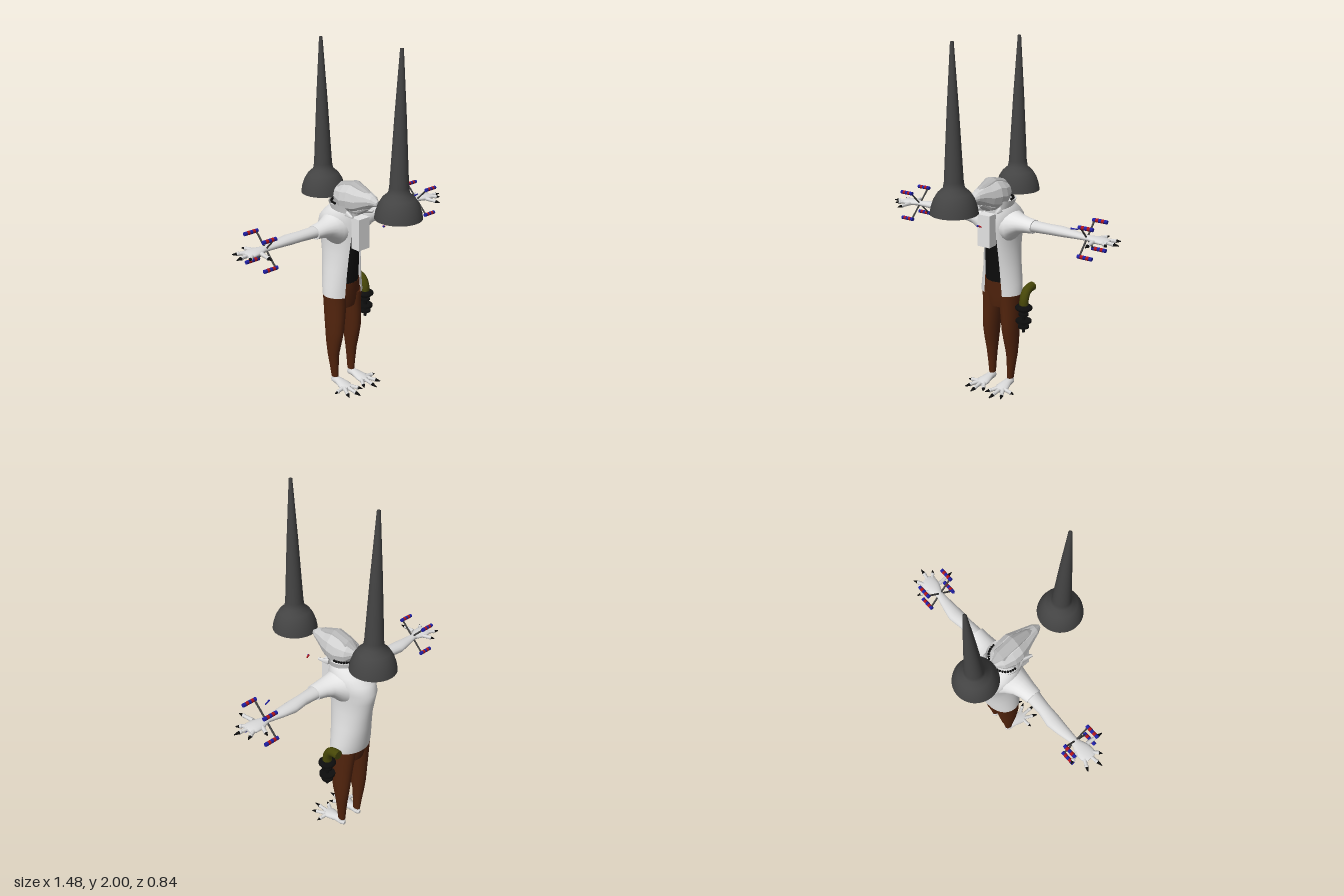
import * as THREE from 'three';

const mat = (name, color, side = THREE.FrontSide, flatShading = false) => {
  const m = new THREE.MeshStandardMaterial({ color, side, flatShading });
  m.name = name;
  return m;
};

// Loft of ellipses along an axis. Rows: [t, c1, c2, r1, r2, halfOpening?]
// axis x: (y,z)   axis y: (z,x)   axis z: (x,y). With an opening the loft is an open wrap.
function loft(axis, rows, seg = 20, open = false) {
  const pos = [], idx = [];
  const put = (t, u, v) => pos.push(...(axis === 'x' ? [t, u, v] : axis === 'y' ? [v, t, u] : [u, v, t]));
  const n = open ? seg + 1 : seg;
  const ring = ([t, c1, c2, r1, r2, h = 0]) => {
    const a = open ? Math.asin(Math.min(1, h / r2)) : 0;
    for (let j = 0; j < n; j++) {
      const k = a + (j / seg) * (2 * Math.PI - 2 * a);
      put(t, c1 + r1 * Math.cos(k), c2 + r2 * Math.sin(k));
    }
  };
  rows.forEach(ring);
  for (let i = 0; i < rows.length - 1; i++) for (let j = 0; j < seg; j++) {
    const k = (j + 1) % n, a = i * n + j, b = i * n + k;
    idx.push(a, b, b + n, a, b + n, a + n);
  }
  if (!open) [rows[0], rows[rows.length - 1]].forEach((r, end) => {
    const s = pos.length / 3;
    ring(r);
    put(r[0], r[1], r[2]);
    for (let j = 0; j < seg; j++) {
      const k = (j + 1) % n;
      end ? idx.push(s + j, s + k, s + n) : idx.push(s + k, s + j, s + n);
    }
  });
  const g = new THREE.BufferGeometry();
  g.setAttribute('position', new THREE.Float32BufferAttribute(pos, 3));
  g.setIndex(idx);
  g.computeVertexNormals();
  return g;
}

// Tapered rod between two points
function rod(p, q, r1, r2, seg = 8) {
  const a = new THREE.Vector3(...p), b = new THREE.Vector3(...q), d = b.clone().sub(a);
  const g = new THREE.CylinderGeometry(r2, r1, d.length(), seg);
  g.applyQuaternion(new THREE.Quaternion().setFromUnitVectors(new THREE.Vector3(0, 1, 0), d.normalize()));
  const m = a.add(b).multiplyScalar(0.5);
  return g.translate(m.x, m.y, m.z);
}

export function createModel() {
  const model = new THREE.Group();
  const cloth = mat('white cloth', 0xe4e4e4, THREE.DoubleSide);
  const skin = mat('pale skin', 0xdadada);
  const headSkin = mat('head skin', 0xd0d0d0, THREE.FrontSide, true);
  const crestGrey = mat('crest grey', 0xb4b4b4, THREE.FrontSide, true);
  const iron = mat('dark iron', 0x444444, THREE.DoubleSide);
  const black = mat('black', 0x0d0d0d);
  const brown = mat('brown trousers', 0x52240d);
  const olive = mat('olive', 0x474708);
  const red = mat('red', 0xb0141c);
  const blue = mat('blue', 0x2020a8);
  const add = (parent, name, geo, m) => {
    const mesh = new THREE.Mesh(geo, m);
    mesh.name = name;
    parent.add(mesh);
    return mesh;
  };

  // Two tall spires with flared, hollow bells
  const spire = [[0.125, 1.155], [0.119, 1.19], [0.105, 1.23], [0.085, 1.262], [0.056, 1.288],
    [0.05, 1.32], [0.03, 1.68], [0.009, 2], [0, 2]].map(p => new THREE.Vector2(...p));
  for (const z of [0.293, -0.293]) {
    add(model, z > 0 ? 'frontSpire' : 'backSpire', new THREE.LatheGeometry(spire, 32), iron).position.z = z;
  }

  // Open jacket, shirt and bib
  add(model, 'jacket', loft('y', [
    [0.59, -0.14, 0, 0.1, 0.125, 0.06], [0.65, -0.145, 0, 0.106, 0.12, 0.055],
    [0.75, -0.147, 0, 0.118, 0.104, 0.05], [0.85, -0.148, 0, 0.13, 0.093, 0.045],
    [0.93, -0.152, 0, 0.142, 0.092, 0.04], [0.99, -0.155, 0, 0.15, 0.1, 0.04],
    [1.04, -0.145, 0, 0.138, 0.11, 0.04], [1.08, -0.13, 0, 0.115, 0.105, 0.04],
    [1.11, -0.115, 0, 0.095, 0.09, 0.04], [1.135, -0.105, 0, 0.078, 0.075, 0.04]], 36, true), cloth);
  add(model, 'collar', loft('y', [
    [1.085, -0.1, 0, 0.085, 0.078, 0.035], [1.12, -0.1, 0, 0.088, 0.09, 0.045],
    [1.15, -0.1, 0, 0.095, 0.102, 0.06]], 28, true), cloth);
  add(model, 'shirt', loft('y', [
    [0.66, -0.14, 0, 0.09, 0.09], [0.8, -0.14, 0, 0.105, 0.085],
    [0.92, -0.14, 0, 0.12, 0.08]], 24), black);
  add(model, 'bib', new THREE.BoxGeometry(0.08, 0.18, 0.06).translate(0, 0.99, 0.01), cloth);
  add(model, 'neck', loft('y', [
    [1.0, -0.1, 0, 0.08, 0.07], [1.1, -0.08, 0, 0.065, 0.06], [1.18, -0.06, 0, 0.065, 0.06]]), skin);
  add(model, 'hips', loft('y', [
    [0.51, -0.143, 0, 0.072, 0.085], [0.55, -0.143, 0, 0.08, 0.109],
    [0.6, -0.142, 0, 0.085, 0.113], [0.67, -0.14, 0, 0.092, 0.1]], 24), brown);

  // Long tapering head with a ridge on top
  add(model, 'head', loft('z', [
    [-0.175, 0, 1.19, 0.025, 0.02], [-0.14, 0, 1.18, 0.062, 0.058], [-0.08, 0, 1.172, 0.08, 0.088],
    [-0.03, 0, 1.18, 0.08, 0.09], [0.02, 0, 1.18, 0.064, 0.073], [0.07, 0, 1.19, 0.045, 0.05],
    [0.11, 0, 1.195, 0.031, 0.03], [0.142, 0, 1.187, 0.01, 0.014]], 12), headSkin);
  add(model, 'crest', loft('z', [
    [-0.175, 0, 1.2, 0.015, 0.015], [-0.13, 0, 1.225, 0.04, 0.028], [-0.03, 0, 1.25, 0.042, 0.027],
    [0.06, 0, 1.222, 0.026, 0.026], [0.135, 0, 1.195, 0.008, 0.011]], 10), crestGrey);
  add(model, 'jaw', loft('z', [
    [-0.05, 0, 1.12, 0.06, 0.03], [0.02, 0, 1.125, 0.045, 0.025],
    [0.075, 0, 1.15, 0.02, 0.012]], 10), headSkin);

  // Bead string behind the neck
  const beads = new THREE.Group();
  beads.name = 'beadString';
  model.add(beads);
  for (let i = 0; i < 19; i++) {
    const a = Math.PI * (i / 18);
    add(beads, 'bead', new THREE.SphereGeometry(0.007, 8, 6), black)
      .position.set(0.086 * Math.cos(a), 1.152, -0.1 - 0.078 * Math.sin(a));
  }

  // Fingers or toes ending in claws: each bends at a knuckle halfway
  const digit = (g, name, from, to, r) => {
    const at = t => from.map((v, i) => v + (to[i] - v) * t);
    add(g, name, rod(from, at(0.72), r, r * 0.7), skin);
    add(g, name + 'Knuckle', new THREE.SphereGeometry(r * 0.95, 8, 6).translate(...at(0.65)), skin);
    add(g, name + 'Claw', rod(at(0.7), to, r * 0.8, r * 0.2), black);
  };

  for (const s of [1, -1]) {
    const side = new THREE.Group();
    side.name = s > 0 ? 'leftSide' : 'rightSide';
    side.scale.x = s;
    model.add(side);

    // Sleeve, arm and hand
    add(side, 'sleeve', loft('x', [
      [0.03, 1.0, -0.145, 0.11, 0.12], [0.08, 1.0, -0.13, 0.095, 0.1], [0.11, 1.01, -0.118, 0.07, 0.082],
      [0.15, 1.02, -0.108, 0.05, 0.064], [0.19, 1.022, -0.103, 0.042, 0.054],
      [0.235, 1.022, -0.1, 0.037, 0.048]]), cloth);
    add(side, 'arm', loft('x', [
      [0.2, 1.024, -0.1, 0.032, 0.044], [0.32, 1.024, -0.105, 0.028, 0.036], [0.4, 1.024, -0.112, 0.027, 0.042],
      [0.47, 1.023, -0.108, 0.021, 0.033], [0.55, 1.022, -0.1, 0.015, 0.021], [0.57, 1.022, -0.1, 0.015, 0.027],
      [0.61, 1.022, -0.1, 0.017, 0.044], [0.65, 1.022, -0.098, 0.015, 0.045],
      [0.675, 1.022, -0.097, 0.008, 0.03]], 16), skin);
    for (const [x, z] of [[0.63, -0.195], [0.715, -0.155], [0.74, -0.08], [0.695, -0.035], [0.615, 0.037]]) {
      const c = x < 0.64 ? 0.605 : 0.64;
      digit(side, 'finger', [c, 1.022, -0.1 + (z + 0.1) * 0.3], [x, 1.02, z], 0.012);
    }

    // Crossed wrist frame carrying four banded tubes
    for (const y of [1.1, 0.945]) for (const z of [-0.17, -0.015]) {
      add(side, 'wristStrut', rod([0.555, 1.022, -0.093], [0.555, y, z], 0.005, 0.005, 6), iron);
      for (let i = 0; i < 5; i++) {
        const x = 0.545 + i * 0.0165;
        add(side, 'wristTube', rod([x, y, z], [x + 0.0165, y, z], 0.0105, 0.0105, 10), i % 2 ? red : blue);
      }
    }

    // Trouser leg
    add(side, 'leg', loft('y', [
      [0.045, -0.143, 0.064, 0.024, 0.018], [0.12, -0.145, 0.067, 0.03, 0.024],
      [0.2, -0.147, 0.07, 0.038, 0.032], [0.28, -0.143, 0.069, 0.054, 0.039],
      [0.36, -0.138, 0.066, 0.067, 0.044], [0.45, -0.14, 0.062, 0.073, 0.05],
      [0.53, -0.143, 0.057, 0.078, 0.055], [0.59, -0.143, 0.057, 0.082, 0.057]]), brown);

    // Foot with splayed toes
    add(side, 'ankle', rod([0.064, 0.015, -0.14], [0.064, 0.06, -0.143], 0.022, 0.016, 14), skin);
    add(side, 'foot', loft('z', [
      [-0.168, 0.064, 0.018, 0.01, 0.01], [-0.15, 0.064, 0.023, 0.022, 0.02], [-0.11, 0.065, 0.025, 0.025, 0.022],
      [-0.05, 0.068, 0.021, 0.04, 0.018], [-0.015, 0.068, 0.016, 0.034, 0.013]], 16), skin);
    for (const [x, z] of [[0.158, -0.033], [0.125, 0.05], [0.065, 0.08], [0.008, 0.035]]) {
      digit(side, 'toe', [0.068 + (x - 0.068) * 0.25, 0.02, -0.04], [x, 0.013, z], 0.013);
    }
    // Lapel corners beside the jaw
    add(side, 'lapelTip', rod([0.055, 1.1, -0.03], [0.075, 1.1, 0.03], 0.02, 0.008, 4), cloth);
  }

  // Bent handle with a guard and a ribbed spike at the hip
  const tool = new THREE.Group();
  tool.name = 'hipTool';
  tool.position.x = 0.162;
  model.add(tool);
  const bend = new THREE.CatmullRomCurve3([[0.53, -0.122], [0.575, -0.125], [0.615, -0.148], [0.627, -0.18], [0.627, -0.208]]
    .map(([y, z]) => new THREE.Vector3(0, y, z)));
  add(tool, 'handle', new THREE.TubeGeometry(bend, 16, 0.026, 12), olive);
  add(tool, 'handleEnd', rod([0, 0.627, -0.2], [0, 0.627, -0.21], 0.026, 0.026, 12), olive);
  add(tool, 'guard', new THREE.SphereGeometry(0.05, 20, 10).scale(1, 0.42, 1).translate(0, 0.525, -0.122), black);
  add(tool, 'spike', rod([0, 0.52, -0.122], [0, 0.375, -0.122], 0.011, 0.009), black);
  for (const [y, r] of [[0.485, 0.028], [0.445, 0.045], [0.41, 0.032]]) {
    add(tool, 'rib', new THREE.CylinderGeometry(r, r, 0.012, 16).translate(0, y, -0.122), black);
  }

  // Small loose darts
  add(model, 'frontDart', rod([0.04, 1.055, 0.145], [0.058, 1.05, 0.138], 0.006, 0.004, 6), red);
  add(model, 'frontDartTip', new THREE.SphereGeometry(0.006, 8, 6).translate(0.04, 1.055, 0.147), blue);
  add(model, 'armDart', rod([0.485, 1.075, -0.045], [0.52, 1.073, -0.055], 0.005, 0.003, 6), blue);
  return model;
}
